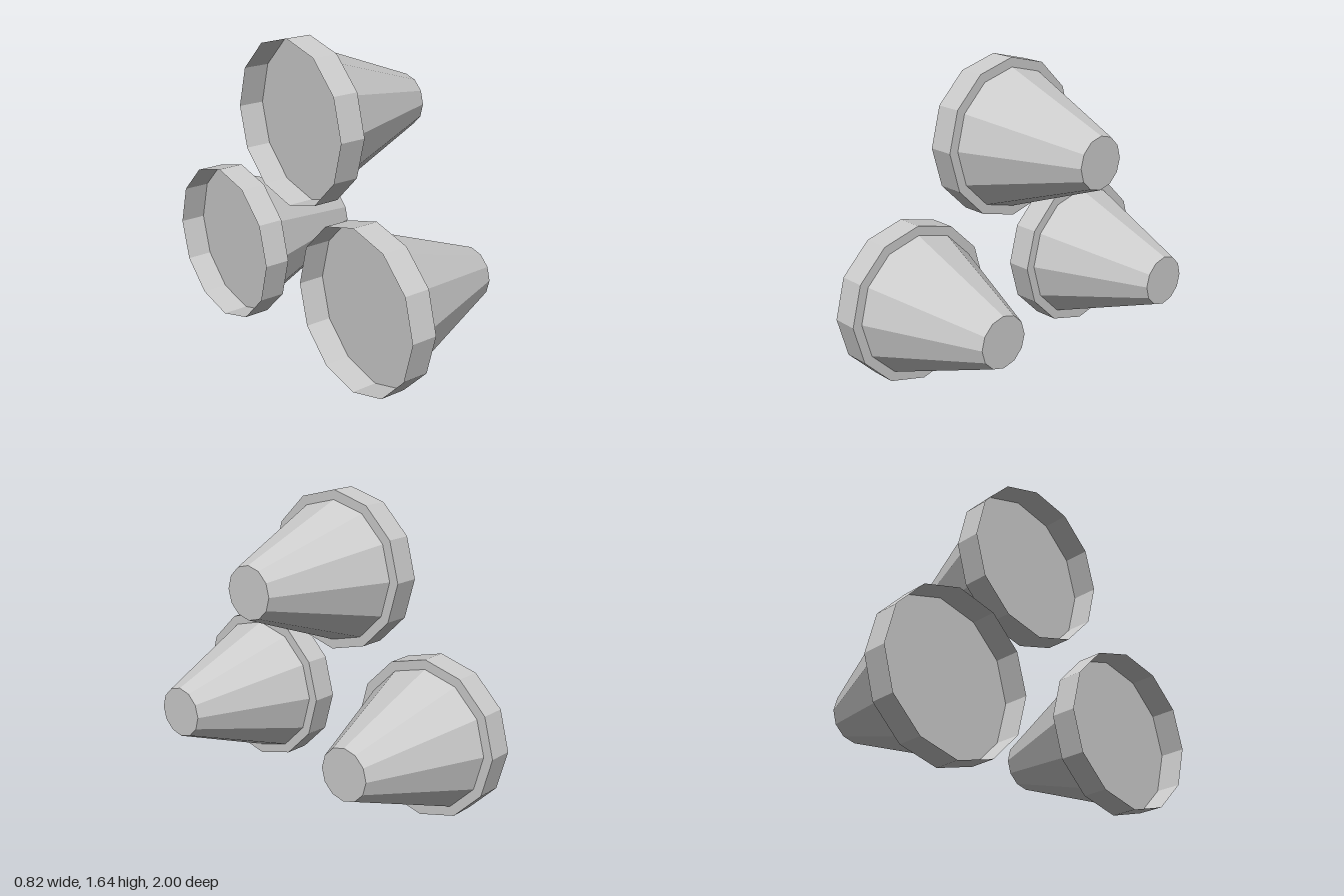
import * as THREE from 'three';

const material = new THREE.MeshStandardMaterial({
  color: 0xcccccc, flatShading: true, side: THREE.DoubleSide,
});

// Twelve-sided surface from (radius, distance) points, its axis turned to +x
function turned(points) {
  const profile = points.map(([r, d]) => new THREE.Vector2(r, d));
  return new THREE.LatheGeometry(profile, 12).rotateZ(-Math.PI / 2);
}

export function createModel() {
  const group = new THREE.Group();
  group.name = 'taperedCones';

  const parts = {
    // Thin rim, open at the back, closed by a plate at its front edge
    rimCup: turned([[0.422, 0], [0.422, 0.14], [0, 0.14]]),
    // Tapered body with a flat tip
    taperedBody: turned([[0.371, 0.14], [0.136, 0.762], [0, 0.762]]),
  };

  // Centre of each open rim
  const cones = [
    ['upperCone', -0.352, 1.218, -0.01],
    ['lowerFrontCone', -0.412, 0.445, 0.578],
    ['lowerBackCone', -0.4, 0.423, -0.578],
  ];
  for (const [name, x, y, z] of cones) {
    const cone = new THREE.Group();
    cone.name = name;
    cone.position.set(x, y, z);
    for (const [partName, geometry] of Object.entries(parts)) {
      const mesh = new THREE.Mesh(geometry, material);
      mesh.name = partName;
      cone.add(mesh);
    }
    group.add(cone);
  }
  return group;
}
